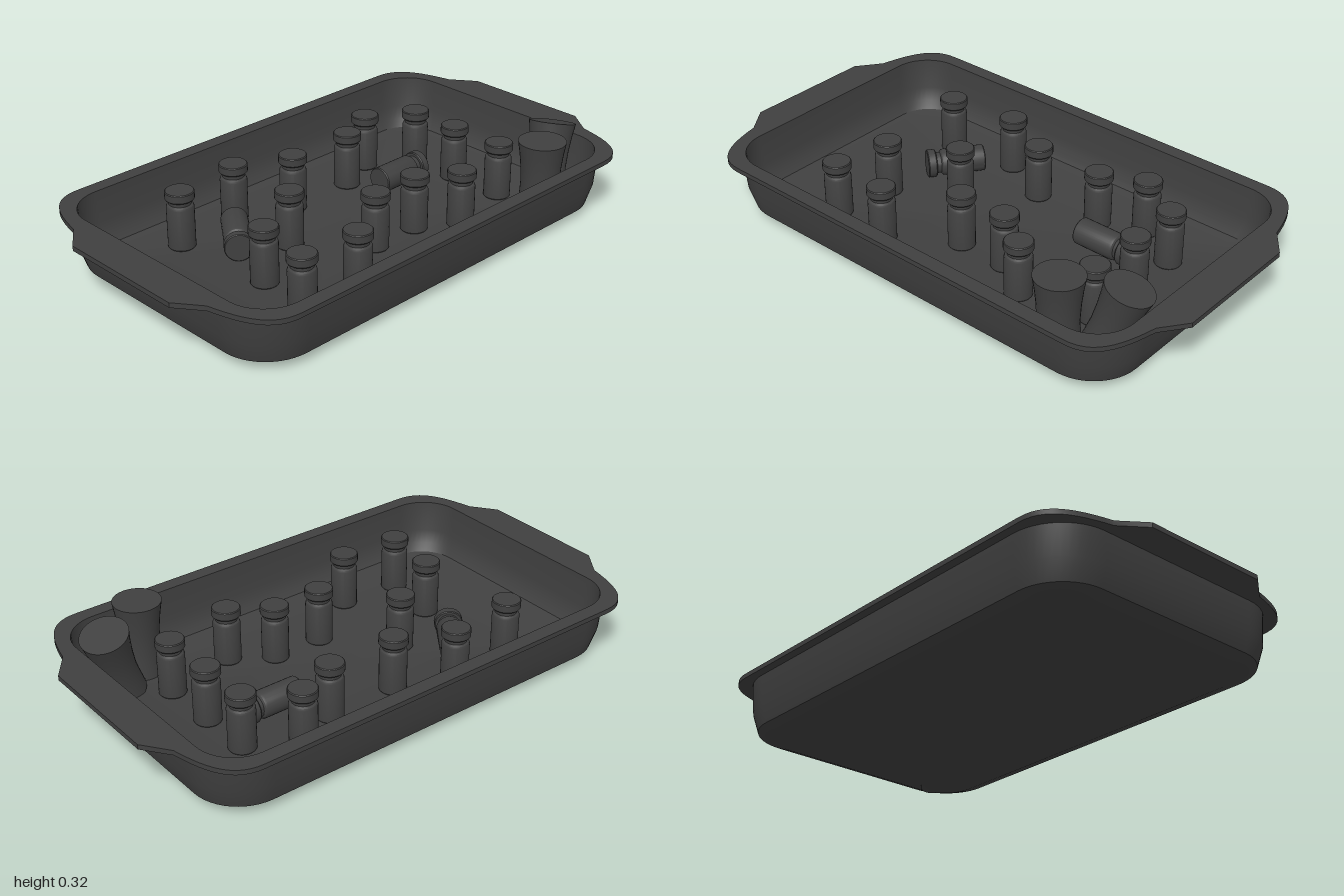
import * as THREE from 'three';
import { toCreasedNormals } from 'three/addons/utils/BufferGeometryUtils.js';

const material = new THREE.MeshStandardMaterial({ color: 0x404040 });
const FLOOR = 0.03;

function addMesh(parent, geometry, name) {
  const mesh = new THREE.Mesh(geometry, material);
  mesh.name = name;
  parent.add(mesh);
  return mesh;
}

// Rounded rectangle outline in the xz plane, running from +x towards +z
function roundedRing(hx, hz, r, y, steps = 12) {
  const points = [];
  for (let q = 0; q < 4; q++) {
    const sx = q === 0 || q === 3 ? 1 : -1;
    const sz = q < 2 ? 1 : -1;
    for (let i = 0; i <= steps; i++) {
      const a = (q + i / steps) * Math.PI / 2;
      points.push([sx * (hx - r) + r * Math.cos(a), y, sz * (hz - r) + r * Math.sin(a)]);
    }
  }
  return points;
}

// Skin joining successive rings
function loft(rings) {
  const n = rings[0].length;
  const index = [];
  for (let i = 0; i < rings.length - 1; i++) {
    for (let j = 0; j < n; j++) {
      const k = (j + 1) % n;
      const a = i * n + j, b = i * n + k, c = a + n, d = b + n;
      index.push(a, c, b, b, c, d);
    }
  }
  const geometry = new THREE.BufferGeometry();
  geometry.setAttribute('position', new THREE.Float32BufferAttribute(rings.flat(2), 3));
  geometry.setIndex(index);
  return toCreasedNormals(geometry, 0.55);
}

function lathe(profile, segments) {
  const points = profile.map(([r, y]) => new THREE.Vector2(r, y));
  return toCreasedNormals(new THREE.LatheGeometry(points, segments), 0.5);
}

// Flat rim with flared end handles and a rounded opening
function rimGeometry() {
  const s = new THREE.Shape();
  s.moveTo(1, -0.25);
  s.lineTo(1, 0.25);
  s.lineTo(0.93, 0.345);
  s.bezierCurveTo(0.9, 0.49, 0.86, 0.575, 0.75, 0.575);
  s.lineTo(-0.75, 0.575);
  s.bezierCurveTo(-0.86, 0.575, -0.9, 0.49, -0.93, 0.345);
  s.lineTo(-1, 0.25);
  s.lineTo(-1, -0.25);
  s.lineTo(-0.93, -0.345);
  s.bezierCurveTo(-0.9, -0.49, -0.86, -0.575, -0.75, -0.575);
  s.lineTo(0.75, -0.575);
  s.bezierCurveTo(0.86, -0.575, 0.9, -0.49, 0.93, -0.345);
  s.closePath();
  const opening = roundedRing(0.865, 0.52, 0.15, 0).map(([x, , z]) => new THREE.Vector2(x, z));
  s.holes.push(new THREE.Path(opening));
  const geometry = new THREE.ExtrudeGeometry(s, { depth: 0.018, bevelEnabled: false, curveSegments: 12 });
  geometry.rotateX(Math.PI / 2).translate(0, 0.24, 0);
  return toCreasedNormals(geometry, 0.5);
}

export function createModel() {
  const model = new THREE.Group();
  model.name = 'trayWithVials';

  // Tray: outer wall from the underside up, then inner wall down to the floor
  const tray = new THREE.Group();
  tray.name = 'tray';
  model.add(tray);
  addMesh(tray, loft([
    roundedRing(0, 0, 0, 0.008),
    roundedRing(0.79, 0.44, 0.13, 0.008),
    roundedRing(0.86, 0.515, 0.18, 0.037),
    roundedRing(0.885, 0.535, 0.2, 0.11),
    roundedRing(0.89, 0.543, 0.2, 0.225),
    roundedRing(0.865, 0.52, 0.15, 0.239),
    roundedRing(0.858, 0.513, 0.15, 0.12),
    roundedRing(0.845, 0.5, 0.15, 0.07),
    roundedRing(0.825, 0.48, 0.14, 0.042),
    roundedRing(0.79, 0.445, 0.12, FLOOR),
    roundedRing(0, 0, 0, FLOOR),
  ]), 'trayBasin');
  addMesh(tray, rimGeometry(), 'trayRim');

  // Vials: body with shoulder and neck, topped by a cap
  const bodyGeometry = lathe([[0, 0], [0.047, 0], [0.05, 0.004], [0.05, 0.158],
    [0.047, 0.165], [0.04, 0.17], [0.04, 0.19]], 28);
  const capGeometry = lathe([[0, 0.187], [0.05, 0.187], [0.053, 0.191], [0.053, 0.217],
    [0.05, 0.22], [0, 0.22]], 28);
  function addVial(name, x, y, z) {
    const vial = new THREE.Group();
    vial.name = name;
    addMesh(vial, bodyGeometry, 'vialBody');
    addMesh(vial, capGeometry, 'vialCap');
    vial.position.set(x, y, z);
    model.add(vial);
    return vial;
  }
  const up = new THREE.Vector3(0, 1, 0);
  const aim = (object, x, y, z) =>
    object.quaternion.setFromUnitVectors(up, new THREE.Vector3(x, y, z).normalize());

  [[-0.51, -0.31], [-0.235, -0.345], [-0.03, -0.25], [0.25, -0.25], [0.415, -0.32],
    [0.59, -0.215], [0.59, -0.01], [0.59, 0.21], [-0.235, -0.045], [-0.475, 0.09],
    [-0.51, 0.315], [-0.27, 0.33], [-0.03, 0.175], [0.17, 0.175], [0.315, 0.27],
  ].forEach(([x, z]) => addVial('standingVial', x, FLOOR, z));
  aim(addVial('lyingVial', 0.283, 0.082, -0.11), 1, 0, 0);
  aim(addVial('lyingVial', -0.311, 0.082, -0.258), -0.59, 0, 0.81);

  // Waisted cups in the corner, one leaning outwards
  const cupGeometry = lathe([[0, 0], [0.08, 0], [0.074, 0.06], [0.071, 0.12], [0.074, 0.18],
    [0.08, 0.235], [0.088, 0.285], [0, 0.285]], 32);
  addMesh(model, cupGeometry, 'uprightCup').position.set(0.597, FLOOR, 0.405);
  const leaning = addMesh(model, cupGeometry, 'leaningCup');
  leaning.position.set(0.711, 0.027, 0.337);
  aim(leaning, 0.29, 0.95, -0.14);

  return model;
}
